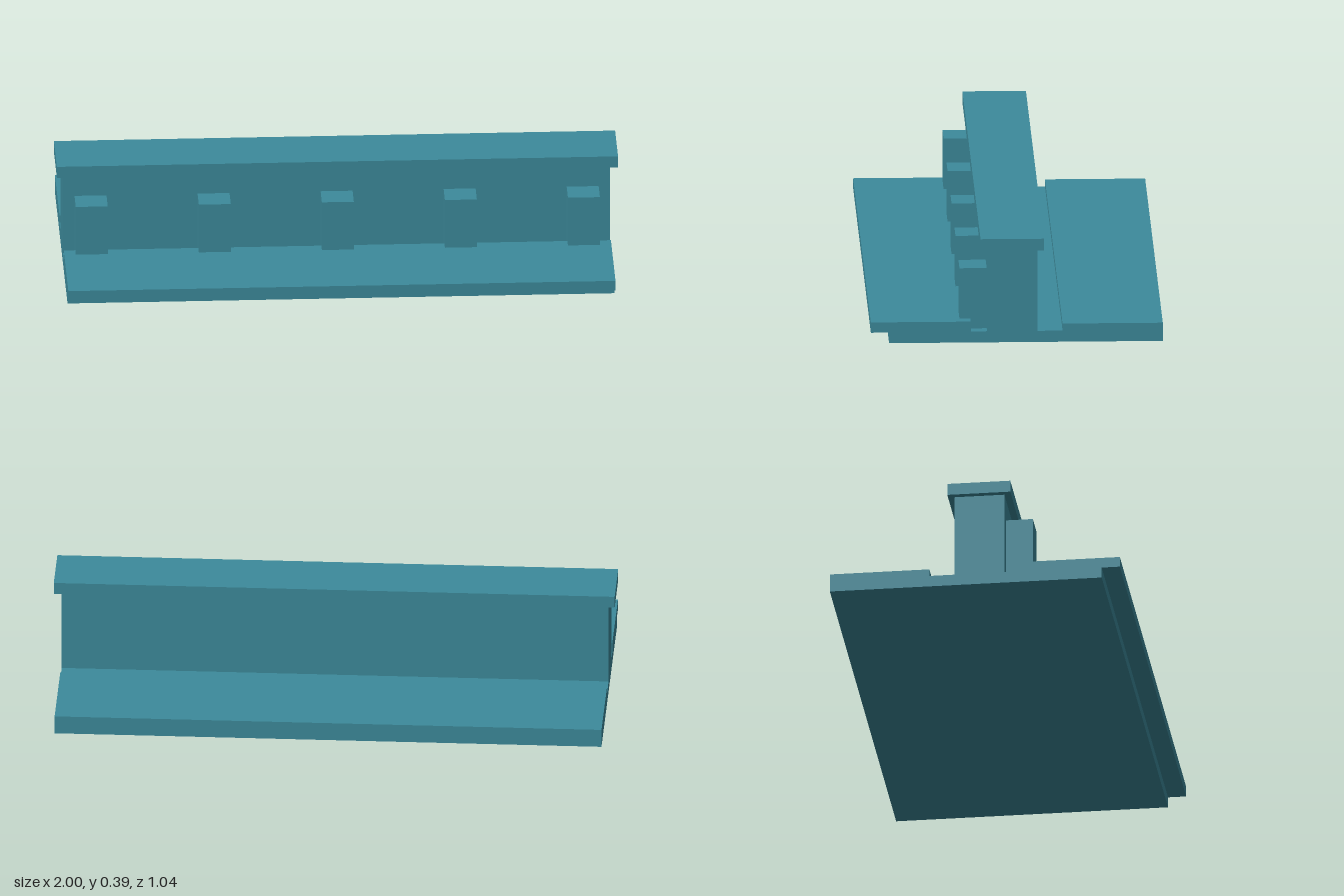
import * as THREE from 'three';

export function createModel() {
  const group = new THREE.Group();
  const material = new THREE.MeshStandardMaterial({ color: 0x3d8b9c });
  const add = (name, geometry) => {
    const mesh = new THREE.Mesh(geometry, material);
    mesh.name = name;
    group.add(mesh);
  };
  // Box given by its limits on each axis
  const box = (name, x0, x1, y0, y1, z0, z1) => add(name,
    new THREE.BoxGeometry(x1 - x0, y1 - y0, z1 - z0)
      .translate((x0 + x1) / 2, (y0 + y1) / 2, (z0 + z1) / 2));

  // Base slabs, grooves and wall as one section [z, y], swept along x
  const section = [
    [0.455, 0], [-0.52, 0], [-0.52, 0.067], [-0.163, 0.067], [-0.163, 0.041],
    [-0.073, 0.041], [-0.073, 0.345], [0.106, 0.345], [0.106, 0.041],
    [0.164, 0.041], [0.164, 0.077], [0.52, 0.077], [0.52, 0.039], [0.455, 0.039],
  ];
  const shape = new THREE.Shape(section.map(([z, y]) => new THREE.Vector2(-z, y)));
  const wall = new THREE.ExtrudeGeometry(shape, { depth: 1.95, bevelEnabled: false });
  add('baseAndWall', wall.rotateY(Math.PI / 2).translate(-0.977, 0, 0));

  // Overhanging coping
  box('coping', -1, 1, 0.345, 0.388, -0.096, 0.13);

  // Row of buttresses: the front part stands on the slab, the rear fills the groove
  for (let i = 0; i < 5; i++) {
    const x = -0.879 + i * 0.4385;
    const profile = [[0.106, 0.041], [0.106, 0.263], [0.203, 0.263],
      [0.203, 0.077], [0.164, 0.077], [0.164, 0.041]];
    const side = new THREE.Shape(profile.map(([z, y]) => new THREE.Vector2(-z, y)));
    const buttress = new THREE.ExtrudeGeometry(side, { depth: 0.114, bevelEnabled: false });
    add('buttress' + (i + 1), buttress.rotateY(Math.PI / 2).translate(x - 0.057, 0, 0));
  }
  return group;
}
